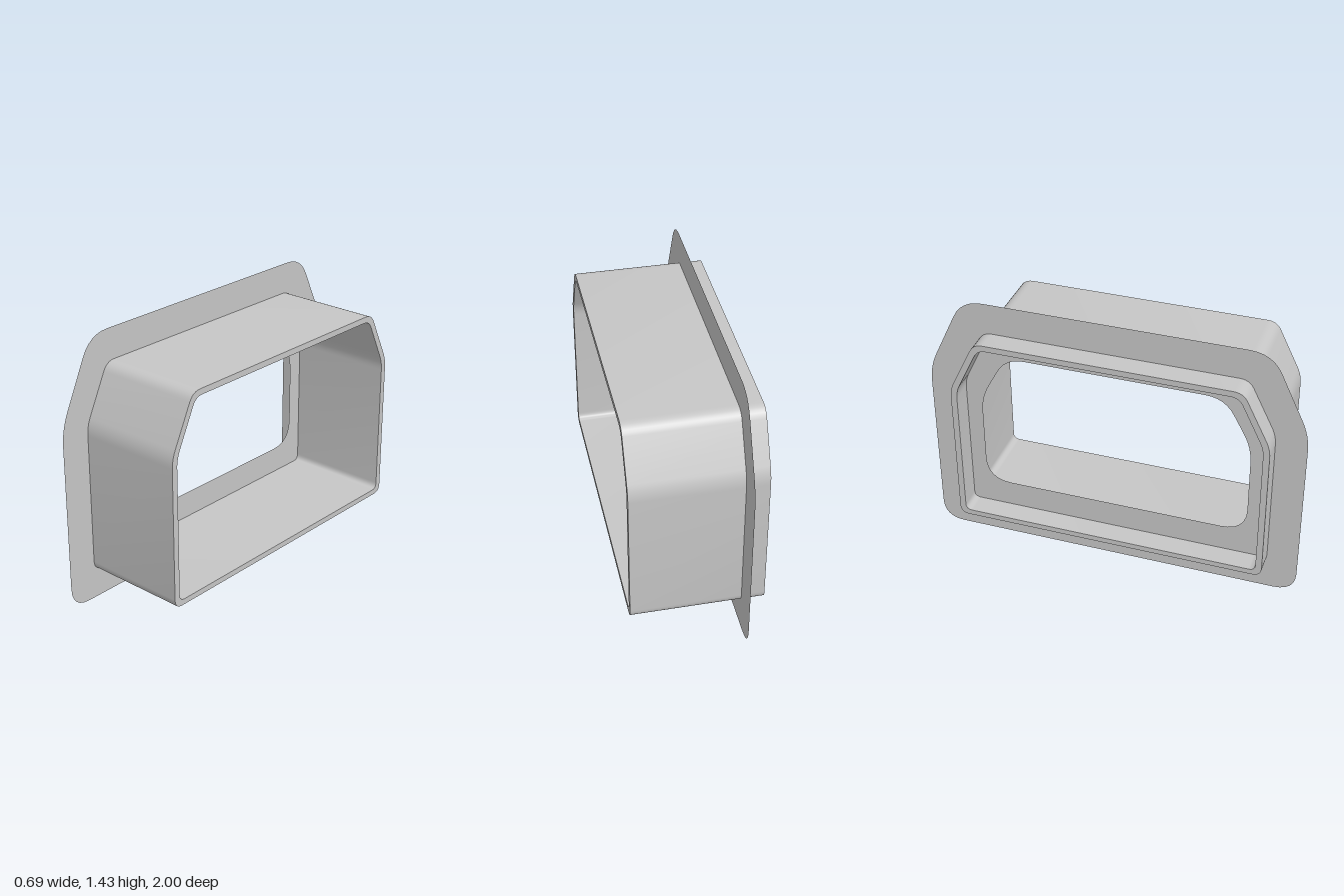
import * as THREE from 'three';
import { toCreasedNormals } from 'three/addons/utils/BufferGeometryUtils.js';

// Mirrored outline from right-half corners [z, y, cut], listed bottom to top,
// each corner rounded off over the length "cut".
function outline(half, PathType) {
  const mirrored = half.map(([z, y, cut]) => [-z, y, cut]).reverse();
  const corners = [...half, ...mirrored];
  const n = corners.length;
  const points = [];
  corners.forEach(([z, y, cut], i) => {
    const corner = new THREE.Vector2(z, y);
    const toward = ([a, b]) =>
      new THREE.Vector2(a, b).sub(corner).setLength(cut).add(corner);
    const start = toward(corners[(i + n - 1) % n]);
    const end = toward(corners[(i + 1) % n]);
    points.push(...new THREE.QuadraticBezierCurve(start, corner, end).getPoints(6));
  });
  return new PathType(points);
}

export function createModel() {
  const group = new THREE.Group();
  const grey = new THREE.MeshStandardMaterial({ color: 0xc6c6c6, side: THREE.DoubleSide });
  grey.name = 'light grey';

  const depth = 0.69;
  const flangeX = -0.225;

  // Sleeve: thin-walled duct running along x, open at both ends
  const sleeveShape = outline(
    [[0.838, 0.16, 0.05], [0.838, 0.965, 0.05], [0.692, 1.262, 0.05]], THREE.Shape);
  sleeveShape.holes.push(outline(
    [[0.805, 0.19, 0.035], [0.805, 0.957, 0.045], [0.672, 1.23, 0.045]], THREE.Path));
  const sleeveGeometry = new THREE.ExtrudeGeometry(sleeveShape, { depth, bevelEnabled: false });
  sleeveGeometry.translate(0, 0, -depth / 2).rotateY(Math.PI / 2);
  const sleeve = new THREE.Mesh(toCreasedNormals(sleeveGeometry, 0.6), grey);
  sleeve.name = 'sleeve';
  group.add(sleeve);

  // Flange: flat sheet crossing the sleeve, with a rounded opening
  const flangeShape = outline(
    [[1, 0, 0.12], [1, 1.0, 0.09], [0.797, 1.43, 0.115]], THREE.Shape);
  flangeShape.holes.push(outline(
    [[0.72, 0.335, 0.14], [0.72, 0.865, 0.09], [0.575, 1.13, 0.1]], THREE.Path));
  const flange = new THREE.Mesh(new THREE.ShapeGeometry(flangeShape).rotateY(Math.PI / 2), grey);
  flange.name = 'flange';
  flange.position.x = flangeX;
  group.add(flange);

  return group;
}
